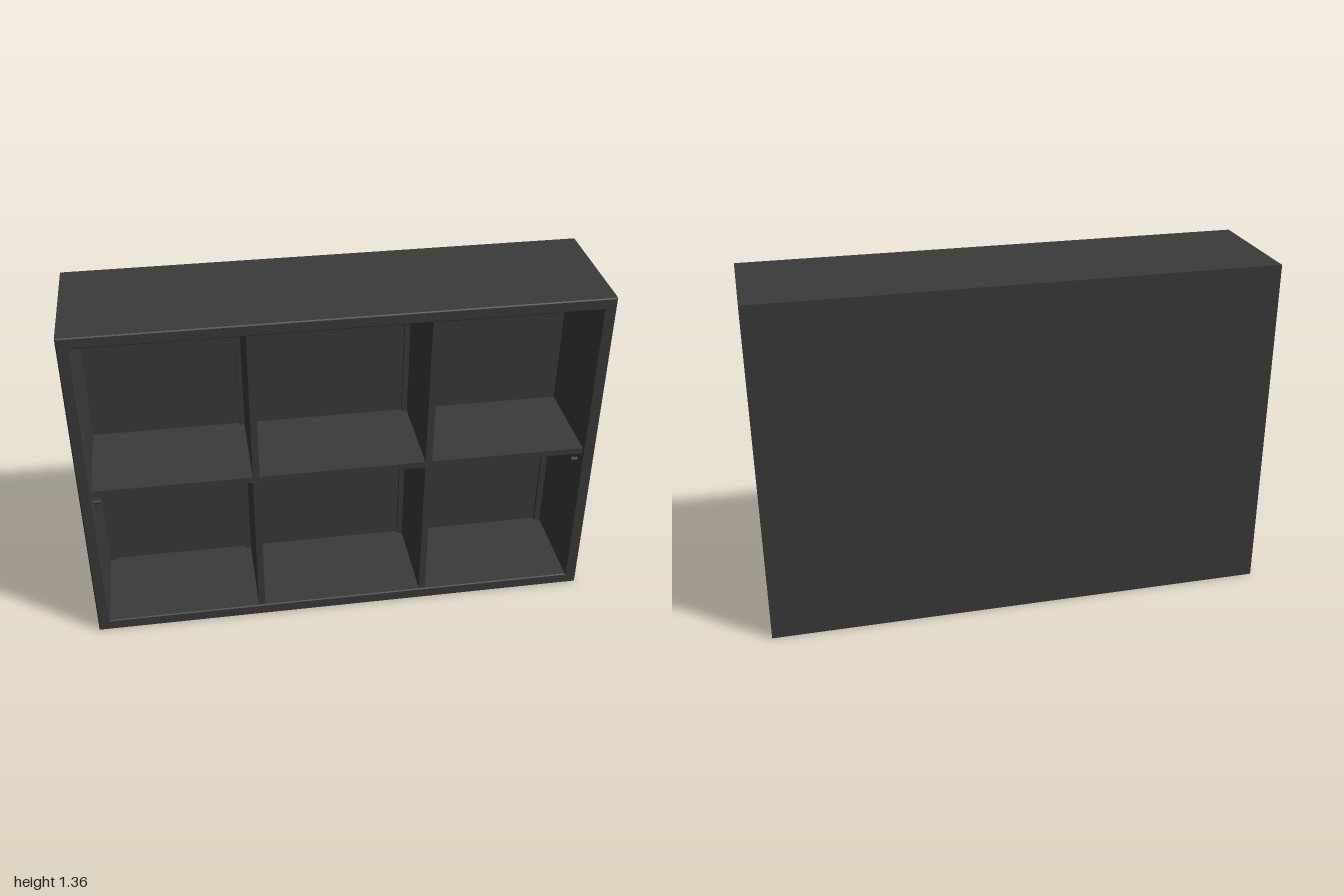
import * as THREE from 'three';

const W = 2, H = 1.36, FRONT = 0.253, BACK = -0.253;
const INNER_X = 0.953, INNER_Y0 = 0.047, INNER_Y1 = 1.315;
const PANEL_Z = -0.135; // inner face of the back panel

export function createModel() {
  const model = new THREE.Group();
  model.name = 'cubbyShelf';
  const material = new THREE.MeshStandardMaterial({ color: 0x3a3a3a });

  const add = (name, geometry) => {
    const mesh = new THREE.Mesh(geometry, material);
    mesh.name = name;
    model.add(mesh);
    return mesh;
  };
  // Box given by its limits on each axis
  const box = (name, x0, x1, y0, y1, z0, z1) =>
    add(name, new THREE.BoxGeometry(x1 - x0, y1 - y0, z1 - z0))
      .position.set((x0 + x1) / 2, (y0 + y1) / 2, (z0 + z1) / 2);

  // Outer frame with a fine chamfer on the front edges
  const outline = new THREE.Shape([[-W / 2, 0], [W / 2, 0], [W / 2, H], [-W / 2, H]]
    .map(([x, y]) => new THREE.Vector2(x, y)));
  outline.holes.push(new THREE.Path([[-INNER_X, INNER_Y0], [-INNER_X, INNER_Y1], [INNER_X, INNER_Y1], [INNER_X, INNER_Y0]]
    .map(([x, y]) => new THREE.Vector2(x, y))));
  const bevel = 0.004, frameBack = PANEL_Z - 0.02;
  add('frame', new THREE.ExtrudeGeometry(outline, {
    depth: FRONT - frameBack - 2 * bevel,
    bevelSize: bevel, bevelThickness: bevel, bevelOffset: -bevel, bevelSegments: 1,
  })).position.z = frameBack + bevel;

  // Back panel
  box('backPanel', -W / 2, W / 2, 0, H, BACK, PANEL_Z);

  // Middle shelf
  const shelfY0 = 0.67, shelfY1 = 0.695, shelfFront = 0.243;
  box('shelf', -INNER_X, INNER_X, shelfY0, shelfY1, PANEL_Z, shelfFront);

  // Dividers with a batten behind each, in both rows
  for (const [y0, y1] of [[INNER_Y0, shelfY0], [shelfY1, INNER_Y1]]) {
    for (const x of [-0.335, 0.335]) {
      box('divider', x - 0.013, x + 0.013, y0, y1, PANEL_Z, shelfFront + 0.002);
      box('dividerBatten', x - 0.034, x + 0.034, y0, y1, PANEL_Z, PANEL_Z + 0.015);
    }
  }

  // Side battens in the lower row and the pegs under the shelf
  for (const s of [-1, 1]) {
    const a = s * INNER_X, b = s * 0.928;
    box('sideBatten', Math.min(a, b), Math.max(a, b), INNER_Y0, shelfY0, PANEL_Z, PANEL_Z + 0.015);
    const peg = add('shelfPeg', new THREE.CylinderGeometry(0.009, 0.009, 0.026, 16));
    peg.rotation.z = Math.PI / 2;
    peg.position.set(s * 0.941, 0.614, 0.2);
  }
  return model;
}
